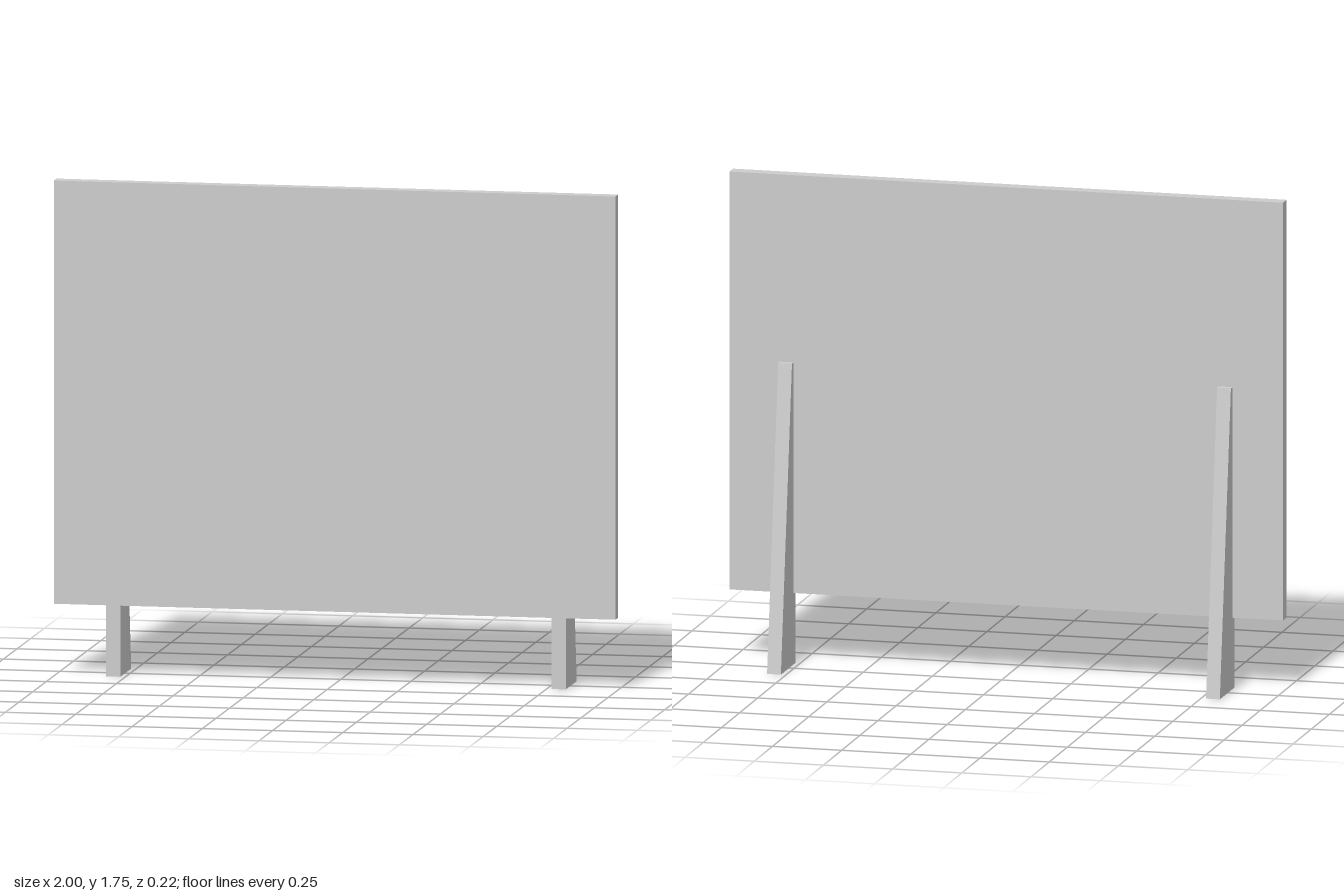
import * as THREE from 'three';

export function createModel() {
  const group = new THREE.Group();
  const material = new THREE.MeshStandardMaterial({ color: 0xcccccc, flatShading: true });

  // Upright flat board
  const panel = new THREE.Mesh(new THREE.BoxGeometry(2, 1.495, 0.05), material);
  panel.name = 'panel';
  panel.position.set(0, 1.0025, 0.088);
  group.add(panel);

  // Tapered leg: side profile as (z, y), extruded across x
  const thickness = 0.05;
  const profile = new THREE.Shape([
    [0.088, 0], [0.088, 1.08], [0.04, 1.08], [-0.112, 0],
  ].map(([z, y]) => new THREE.Vector2(z, y)));
  const legGeometry = new THREE.ExtrudeGeometry(profile, { depth: thickness, bevelEnabled: false });
  legGeometry.translate(0, 0, -thickness / 2);
  legGeometry.rotateY(-Math.PI / 2);

  // One leg near each end of the board
  for (const [name, side] of [['leftLeg', 1], ['rightLeg', -1]]) {
    const leg = new THREE.Mesh(legGeometry, material);
    leg.name = name;
    leg.position.x = side * 0.793;
    group.add(leg);
  }

  return group;
}
